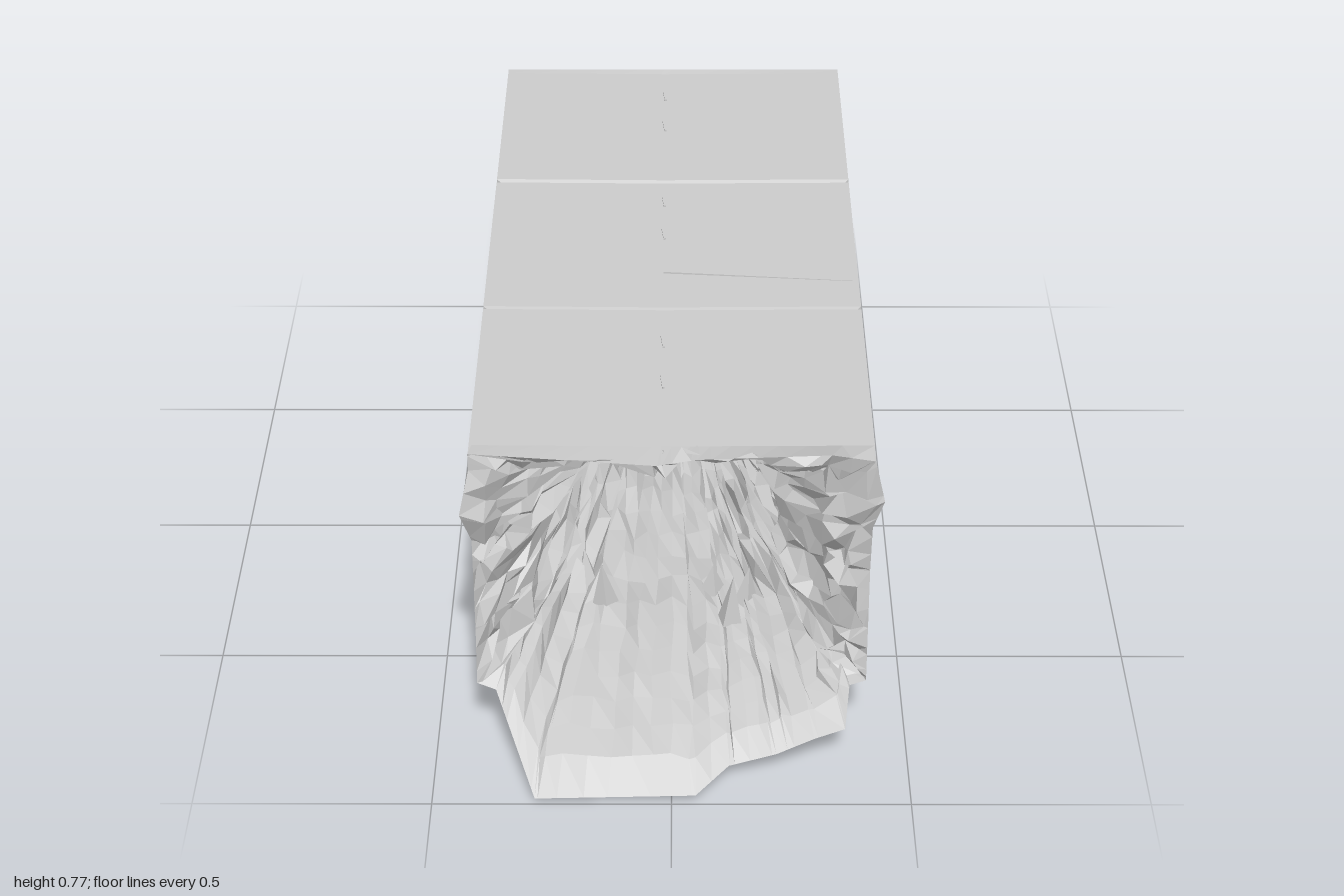
import * as THREE from 'three';

const CENTRE_Y = 0.4;
const V = (x, y, z = 0) => new THREE.Vector3(x, y, z);
const rock = new THREE.MeshStandardMaterial({ color: 0xcccccc, flatShading: true, side: THREE.DoubleSide });

// Seeded noise in -1..1
let seed = 11;
function rnd() {
  seed = (seed * 16807) % 2147483647;
  return (seed / 2147483647) * 2 - 1;
}

const angleOf = (p) => (Math.atan2(p.y - CENTRE_Y, p.x) + Math.PI * 2) % (Math.PI * 2);
const prepare = (pts) => pts.map((p) => V(...p)).sort((a, b) => angleOf(a) - angleOf(b));

// Block outline, broken front rim with its floor lip, and rough back rim
const outline = prepare([
  [0.41, 0.745, 0], [-0.02, 0.742, 0], [-0.41, 0.745, 0], [-0.41, 0.175, 0], [-0.31, 0.175, 0],
  [-0.29, 0.005, 0], [0.29, 0.005, 0], [0.31, 0.175, 0], [0.41, 0.175, 0],
]);
const frontRim = prepare([
  [0.41, 0.74, 0.81], [0.32, 0.775, 0.84], [0.05, 0.75, 0.82], [-0.03, 0.742, 0.83], [-0.41, 0.75, 0.8],
  [-0.41, 0.71, 0.8], [-0.43, 0.62, 0.83], [-0.41, 0.53, 0.79], [-0.41, 0.3, 0.79], [-0.41, 0.175, 0.81],
  [-0.37, 0.165, 0.82], [-0.285, 0.02, 1], [0.05, 0.02, 0.99], [0.12, 0.05, 0.93], [0.22, 0.065, 0.91],
  [0.3, 0.09, 0.89], [0.365, 0.1, 0.87], [0.375, 0.17, 0.81], [0.41, 0.175, 0.8], [0.41, 0.45, 0.78],
  [0.41, 0.57, 0.8], [0.43, 0.655, 0.83],
]);
const backRim = prepare([
  [0.41, 0.745, -0.92], [-0.41, 0.745, -0.92], [-0.41, 0.54, -0.92], [-0.42, 0.48, -0.94],
  [-0.4, 0.4, -0.92], [-0.41, 0.175, -0.92], [-0.31, 0.175, -0.93], [-0.29, 0.005, -0.93],
  [0.15, 0.005, -0.95], [0.22, 0.005, -0.99], [0.29, 0.01, -0.99], [0.31, 0.175, -0.98],
  [0.4, 0.19, -1], [0.41, 0.24, -0.93],
]);

// Sampling directions: an even fan plus every corner
const angles = [...Array(56).keys()].map((i) => (i / 56) * Math.PI * 2)
  .concat([outline, frontRim, backRim].flatMap((l) => l.map(angleOf)))
  .sort((a, b) => a - b)
  .filter((a, i, all) => i === 0 || a - all[i - 1] > 1e-4);

// Point where a ray from the centre meets a closed loop
function hit(loop, angle) {
  let k = loop.findIndex((p) => angleOf(p) > angle + 1e-6);
  if (k < 0) k = 0;
  const a = loop[(k + loop.length - 1) % loop.length], b = loop[k];
  const dx = Math.cos(angle), dy = Math.sin(angle);
  const cross = (p) => dx * (p.y - CENTRE_Y) - dy * p.x;
  const ca = cross(a), cb = cross(b);
  return a.clone().lerp(b, Math.abs(ca - cb) < 1e-9 ? 0 : THREE.MathUtils.clamp(ca / (ca - cb), 0, 1));
}
const sample = (loop) => angles.map((a) => hit(loop, a));

// Skin between rings that run from front to back
function loft(rings, inward) {
  const n = angles.length, pos = [], idx = [];
  rings.forEach((r) => r.forEach((p) => pos.push(p.x, p.y, p.z)));
  for (let i = 0; i < rings.length - 1; i++) {
    for (let j = 0; j < n; j++) {
      const a = i * n + j, b = i * n + (j + 1) % n, c = a + n, d = b + n;
      if (inward) idx.push(a, b, c, b, d, c);
      else idx.push(a, c, b, b, c, d);
    }
  }
  const g = new THREE.BufferGeometry();
  g.setAttribute('position', new THREE.Float32BufferAttribute(pos, 3));
  g.setIndex(idx);
  g.computeVertexNormals();
  return g;
}

// Egg-shaped passage section
function passage(z, t, noise) {
  const a = THREE.MathUtils.lerp(0.245, 0.155, t);
  const k = THREE.MathUtils.lerp(0.32, 0.12, t);
  const top = THREE.MathUtils.lerp(0.69, 0.62, t);
  return angles.map((u) => {
    const s = Math.sin(u), n = 1 + noise * rnd();
    const y = 0.41 + s * (s > 0 ? top - 0.41 : 0.3) * n;
    return V(a * Math.cos(u) * (1 - k * s) * n, Math.max(y, 0.155 + 0.012 * rnd()), z + noise * 0.15 * rnd());
  });
}

export function createModel() {
  const group = new THREE.Group();
  const add = (name, geometry) => {
    const m = new THREE.Mesh(geometry, rock);
    m.name = name;
    group.add(m);
    return m;
  };
  const front = sample(frontRim), back = sample(backRim), shape = sample(outline);
  const section = (z, s = 1) => shape.map((p) => V(p.x * s, CENTRE_Y + (p.y - CENTRE_Y) * s, z));

  // Three outer blocks meeting in narrow grooves
  add('frontBlock', loft([front, section(0.76), section(0.231), section(0.225, 0.96)]));
  add('middleBlock', loft([section(0.225, 0.96), section(0.219), section(-0.337), section(-0.345, 0.96)]));
  add('backBlock', loft([section(-0.345, 0.96), section(-0.353), section(-0.9), back]));

  // Rough funnel from the front rim to the passage
  const mouth = passage(0.5, 0, 0.1);
  const funnel = [front];
  for (let i = 1; i < 7; i++) {
    const s = i / 7;
    funnel.push(front.map((p, j) => {
      const q = mouth[j], low = p.y < 0.17;
      const amp = low ? 0.007 : 0.028;
      return V(
        THREE.MathUtils.lerp(p.x, q.x, s) + amp * rnd() * 0.7,
        THREE.MathUtils.lerp(p.y, q.y, low ? Math.sqrt(s) : s) + amp * rnd() * 0.7,
        THREE.MathUtils.lerp(p.z, q.z, low ? s : Math.pow(s, 1.7)) + amp * rnd(),
      );
    }));
  }
  funnel.push(mouth);
  add('frontRockFace', loft(funnel, true));

  // Passage walls
  const walls = [mouth];
  for (let i = 1; i <= 16; i++) {
    walls.push(passage(0.5 - i * 0.085, Math.min(1, i / 7), 0.1));
  }
  add('passageWalls', loft(walls, true));

  // Back face with ridges radiating from the opening
  const exit = walls[walls.length - 1];
  const lerpRing = (s, amp, z) => exit.map((p, j) => {
    const v = p.clone().lerp(back[j], s);
    v.z = THREE.MathUtils.lerp(z, back[j].z, s) + amp * rnd();
    return v;
  });
  add('backRockFace', loft([exit, lerpRing(0.08, 0.02, -0.9), lerpRing(0.4, 0.014, -0.925), lerpRing(0.75, 0.008, -0.92), back], true));

  // Spikes on the passage floor
  [[0.13, 0.56, 0.12], [0.165, 0.5, 0.1], [0.09, 0.45, 0.07], [-0.15, 0.5, 0.11], [-0.19, 0.42, 0.09]].forEach(([x, z, h]) => {
    const spike = add('floorSpike', new THREE.ConeGeometry(0.03, h, 4));
    spike.position.set(x, 0.15 + h / 2, z);
    spike.rotation.set(0, x * 20, x * 0.5);
  });

  // Chips of stone poking through the ledge and the side walls
  [
    [0.34, 0.172, 0.32, 0.05], [0.34, 0.17, 0.14, 0.05], [0.34, 0.172, -0.82, 0.04], [0.395, 0.2, 0.245, 0.03],
    [-0.34, 0.172, 0.45, 0.05], [-0.34, 0.172, -0.3, 0.05], [-0.395, 0.22, 0.225, 0.035], [-0.4, 0.6, 0.78, 0.035],
  ].forEach(([x, y, z, r]) => {
    const chip = add('stoneChip', new THREE.IcosahedronGeometry(r, 0));
    chip.position.set(x, y, z);
    chip.scale.set(0.7, y < 0.18 ? 0.45 : 1.2, 1);
  });

  // Narrow cracks in the roof
  const crack = (x, z, w, d, turn) => {
    const c = add('roofCrack', new THREE.BoxGeometry(w, 0.004, d));
    c.position.set(x, 0.744, z);
    c.rotation.y = turn;
  };
  crack(0.19, 0.09, 0.42, 0.006, -0.09);
  [-0.78, -0.62, -0.25, -0.1, 0.36, 0.52].forEach((z) => crack(-0.02, z, 0.005, 0.05, 0.1));

  return group;
}
